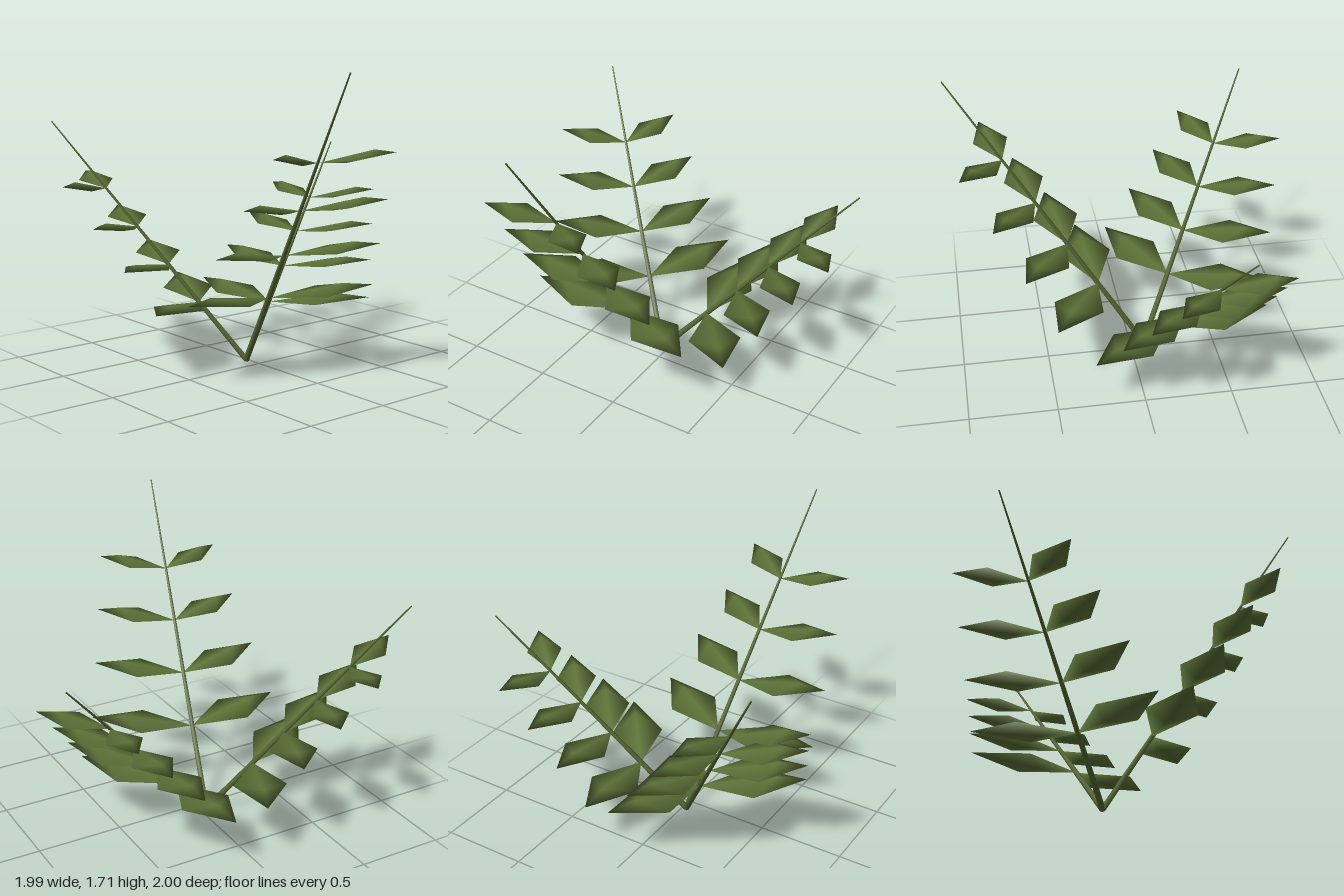
import * as THREE from 'three';

const UP = new THREE.Vector3(0, 1, 0);
const ROOT = new THREE.Vector3(-0.08, 0.01, 0.03);
const TIPS = [
  new THREE.Vector3(0.99, 1.71, 0.25),
  new THREE.Vector3(-0.81, 1.39, 0.85),
  new THREE.Vector3(-0.47, 1.18, -0.99),
];

// Faceted lens with a diamond outline, running from base along the vector axis
function leafGeometry(base, axis) {
  const length = axis.length();
  const side = new THREE.Vector3().crossVectors(UP, axis).normalize().multiplyScalar(length * 0.25);
  const at = (t, s, h) => base.clone().addScaledVector(axis, t).addScaledVector(side, s).addScaledVector(UP, h);
  const points = [
    at(1, 0, 0), at(0.5, 1, 0), at(0, 0, 0), at(0.5, -1, 0), // outline
    at(0.72, 0, 0.03), at(0.35, 0, -0.02), // crown and keel
  ];
  const index = [];
  for (let i = 0; i < 4; i++) {
    const j = (i + 1) % 4;
    index.push(i, j, 4, j, i, 5);
  }
  const geometry = new THREE.BufferGeometry().setFromPoints(points);
  geometry.setIndex(index);
  geometry.computeVertexNormals();
  return geometry;
}

// Straight stem tapering to its tip
function stemMesh(tip, material) {
  const dir = tip.clone().sub(ROOT);
  const mesh = new THREE.Mesh(new THREE.CylinderGeometry(0.004, 0.018, dir.length(), 6), material);
  mesh.position.copy(ROOT).addScaledVector(dir, 0.5);
  mesh.quaternion.setFromUnitVectors(UP, dir.normalize());
  mesh.name = 'stem';
  return mesh;
}

export function createModel() {
  const model = new THREE.Group();
  model.name = 'plant';
  const leafGreen = new THREE.MeshStandardMaterial({ color: 0x5f7539 });
  leafGreen.name = 'leafGreen';
  const stemGreen = new THREE.MeshStandardMaterial({ color: 0x566832 });
  stemGreen.name = 'stemGreen';

  for (const tip of TIPS) {
    const frond = new THREE.Group();
    frond.name = 'frond';
    frond.add(stemMesh(tip, stemGreen));

    const forward = tip.clone().sub(ROOT).setY(0).normalize();
    const lateral = new THREE.Vector3().crossVectors(UP, forward);

    // Four opposite pairs, shrinking towards the tip
    for (let i = 0; i < 4; i++) {
      const base = ROOT.clone().lerp(tip, 0.247 + 0.159 * i);
      for (const s of [-1, 1]) {
        const axis = forward.clone().multiplyScalar(0.18)
          .addScaledVector(lateral, s * (0.57 - 0.07 * i))
          .addScaledVector(UP, 0.055);
        const leaf = new THREE.Mesh(leafGeometry(base, axis), leafGreen);
        leaf.name = s > 0 ? 'leftLeaf' : 'rightLeaf';
        frond.add(leaf);
      }
    }
    model.add(frond);
  }
  return model;
}
